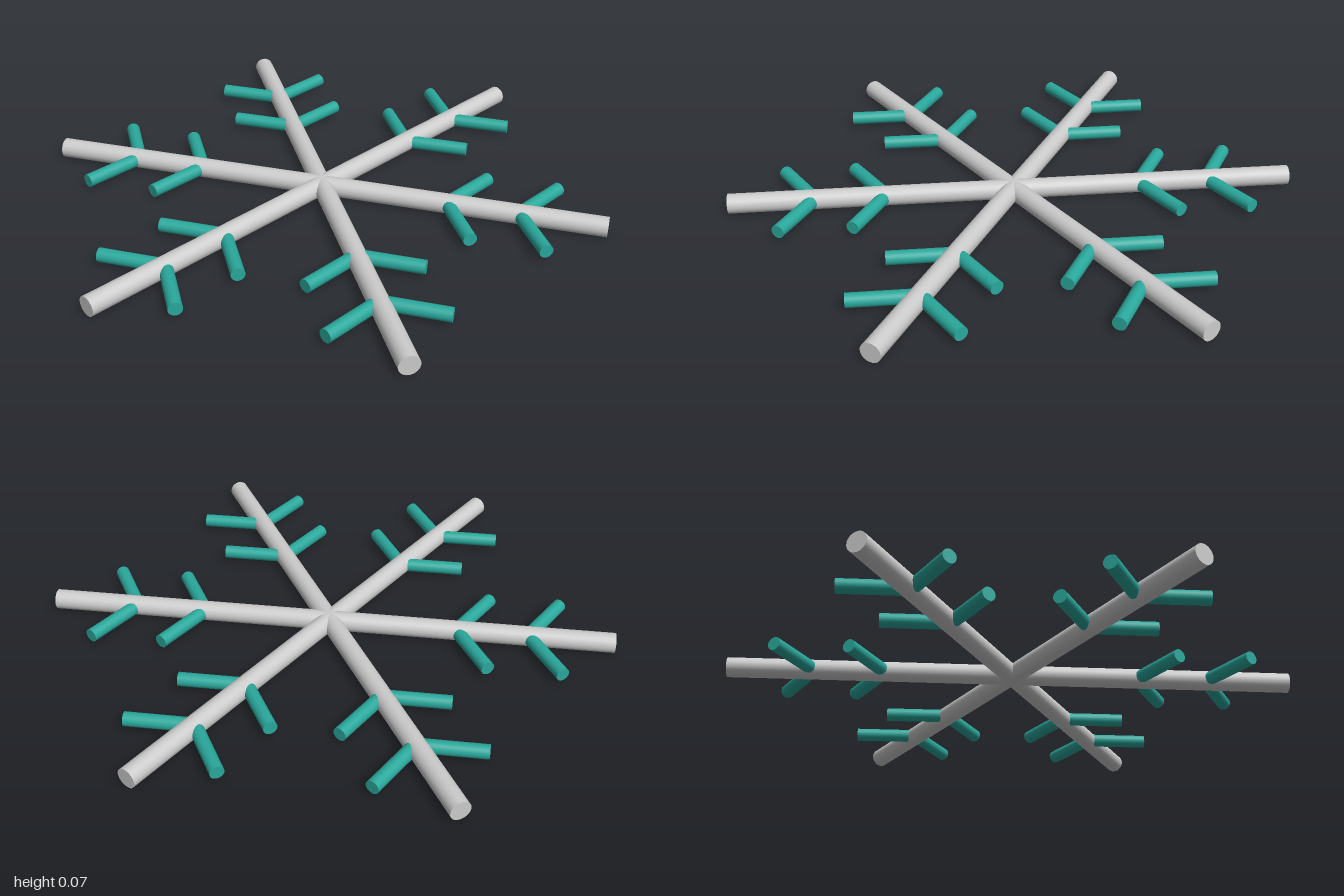
import * as THREE from 'three';

const ARM_RADIUS = 0.035;
const TWIG_RADIUS = 0.024;
const TWIG_LENGTH = 0.23;

// Cylinder lying along +x, starting at the origin
function rodGeometry(radius, length) {
  return new THREE.CylinderGeometry(radius, radius, length, 32)
    .rotateZ(-Math.PI / 2)
    .translate(length / 2, 0, 0);
}

export function createModel() {
  const model = new THREE.Group();
  model.name = 'snowflake';

  const armMaterial = new THREE.MeshStandardMaterial({ color: 0xcccccc });
  const twigMaterial = new THREE.MeshStandardMaterial({ color: 0x2aa89c });
  const armGeometry = rodGeometry(ARM_RADIUS, 1);
  const twigGeometry = rodGeometry(TWIG_RADIUS, TWIG_LENGTH);

  // Six arms around the centre, each with two pairs of twigs
  for (let i = 0; i < 6; i++) {
    const branch = new THREE.Group();
    branch.name = `branch${i + 1}`;
    branch.position.y = ARM_RADIUS;
    branch.rotation.y = (i * Math.PI) / 3;

    const arm = new THREE.Mesh(armGeometry, armMaterial);
    arm.name = 'arm';
    branch.add(arm);

    for (const [pair, distance] of [['inner', 0.45], ['outer', 0.7]]) {
      for (const side of [-1, 1]) {
        const twig = new THREE.Mesh(twigGeometry, twigMaterial);
        twig.name = `${pair}Twig${side > 0 ? 'A' : 'B'}`;
        twig.position.x = distance;
        twig.rotation.y = (side * Math.PI) / 3;
        branch.add(twig);
      }
    }
    model.add(branch);
  }
  return model;
}
